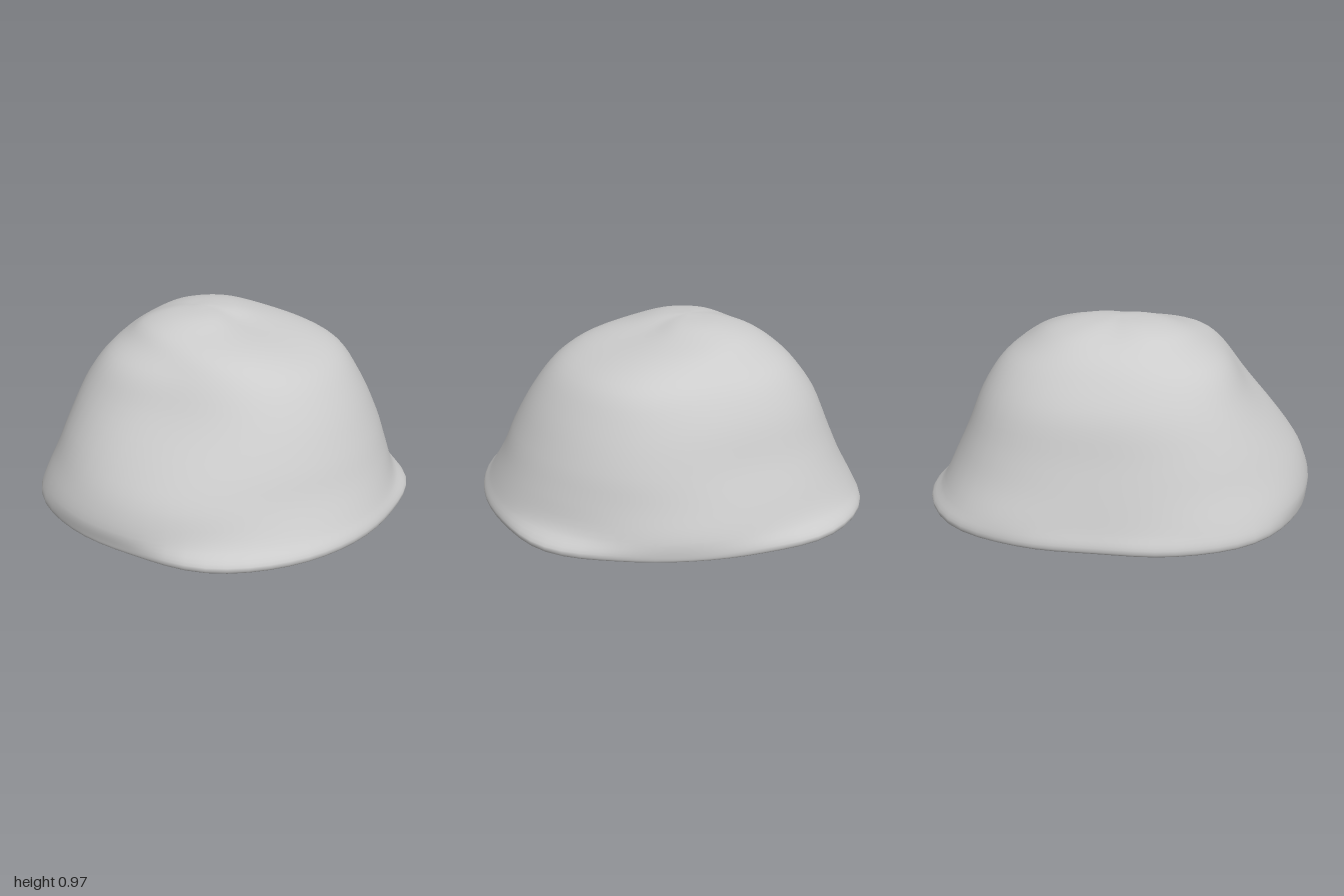
import * as THREE from 'three';

// Each ring: height, centre x, radii at equal angles running from +x towards +z
const foot = [0.96, 0.98, 1.015, 1.04, 1.0, 1.025, 1.055, 1.01, 0.965, 1.025, 1.1, 1.065, 0.95, 0.9, 0.91, 0.975];
const RINGS = [
  { y: 0, cx: 0, r: foot.map((v) => v * 0.975) },
  { y: 0.01, cx: 0, r: foot.map((v) => v * 0.994) },
  { y: 0.04, cx: 0, r: foot },
  { y: 0.11, cx: 0, r: [0.925, 0.96, 1.0, 1.03, 0.94, 1.06, 0.92, 0.89] },
  { y: 0.25, cx: 0, r: [0.865, 0.88, 0.95, 0.96, 0.89, 0.98, 0.86, 0.845] },
  { y: 0.4, cx: 0, r: [0.8, 0.81, 0.84, 0.89, 0.835, 0.91, 0.79, 0.8] },
  { y: 0.6, cx: 0, r: [0.69, 0.69, 0.66, 0.78, 0.765, 0.82, 0.71, 0.71] },
  { y: 0.75, cx: 0, r: [0.56, 0.57, 0.55, 0.67, 0.66, 0.71, 0.61, 0.61] },
  { y: 0.84, cx: -0.08, r: [0.45, 0.49, 0.46, 0.49, 0.49, 0.54, 0.5, 0.51] },
  { y: 0.91, cx: -0.17, r: [0.24, 0.32, 0.35, 0.33, 0.28, 0.35, 0.38, 0.32] },
  { y: 0.955, cx: -0.18, r: [0.12, 0.17, 0.2, 0.18, 0.13, 0.18, 0.22, 0.17] },
  { y: 0.97, cx: -0.17, r: [0, 0, 0, 0, 0, 0, 0, 0] },
];
const AROUND = 64, STEPS = 4;

// Smooth periodic lookup of a radius at t in 0..1
function radiusAt(r, t) {
  const n = r.length, f = t * n, i = Math.floor(f), u = f - i;
  const [a, b, c, d] = [-1, 0, 1, 2].map((k) => r[(i + k + n) % n]);
  return b + 0.5 * u * (c - a + u * (2 * a - 5 * b + 4 * c - d + u * (3 * (b - c) + d - a)));
}

// One meridian from foot to crown, smoothed between the rings
function meridian(t) {
  const angle = t * Math.PI * 2;
  const points = RINGS.map(({ y, cx, r }) => {
    const radius = radiusAt(r, t);
    return new THREE.Vector3(cx + radius * Math.cos(angle), y, radius * Math.sin(angle));
  });
  return new THREE.CatmullRomCurve3(points).getPoints((RINGS.length - 1) * STEPS);
}

function makeGeometry(points, index) {
  const geometry = new THREE.BufferGeometry().setFromPoints(points);
  geometry.setIndex(index);
  geometry.computeVertexNormals();
  return geometry;
}

export function createModel() {
  const group = new THREE.Group();
  group.name = 'boulder';
  const material = new THREE.MeshStandardMaterial({ color: 0xcccccc });
  const add = (name, geometry) => {
    const mesh = new THREE.Mesh(geometry, material);
    mesh.name = name;
    group.add(mesh);
  };

  const columns = [];
  for (let j = 0; j < AROUND; j++) columns.push(meridian(j / AROUND));

  // Weathered dome, sharing one crown vertex
  const rows = columns[0].length - 1;
  const points = columns.flatMap((c) => c.slice(0, rows));
  const crown = points.push(columns[0][rows]) - 1;
  const index = [];
  for (let j = 0; j < AROUND; j++) {
    const a = j * rows, b = ((j + 1) % AROUND) * rows;
    for (let i = 0; i < rows - 1; i++) {
      index.push(a + i, a + i + 1, b + i, b + i, a + i + 1, b + i + 1);
    }
    index.push(a + rows - 1, crown, b + rows - 1);
  }
  add('rockBody', makeGeometry(points, index));

  // Flat underside
  const rim = [new THREE.Vector3(), ...columns.map((c) => c[0])];
  const fan = [];
  for (let j = 0; j < AROUND; j++) fan.push(0, j + 1, ((j + 1) % AROUND) + 1);
  add('rockBase', makeGeometry(rim, fan));

  return group;
}
